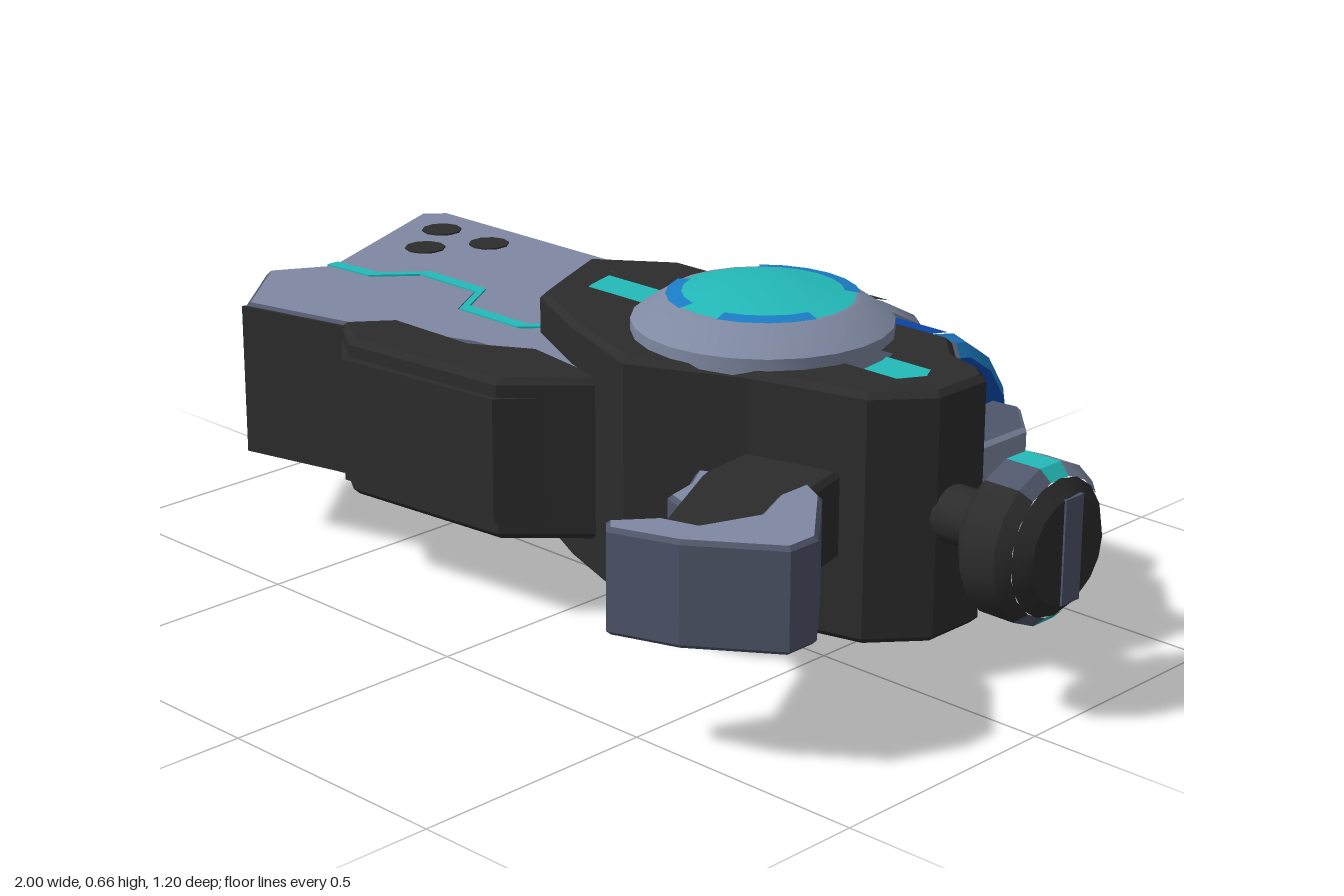
import * as THREE from 'three';
import { toCreasedNormals } from 'three/addons/utils/BufferGeometryUtils.js';

const MID = 0.335; // height of the symmetry plane
const RAD = Math.PI / 180;

export function createModel() {
  const model = new THREE.Group();
  model.name = 'blaster';
  const mat = (name, color) => {
    const m = new THREE.MeshStandardMaterial({ color });
    m.name = name;
    return m;
  };
  const slate = mat('slate', 0x7f89a2);
  const darkSlate = mat('dark slate', 0x50566a);
  const black = mat('black', 0x2c2c2c);
  const teal = mat('teal', 0x23bab9);
  const cyan = mat('cyan', 0x22afe2);
  const midBlue = mat('mid blue', 0x1b7dc6);
  const deepBlue = mat('deep blue', 0x0b46a9);

  const add = (name, geo, material, parent = model) => {
    const mesh = new THREE.Mesh(geo, material);
    mesh.name = name;
    parent.add(mesh);
    return mesh;
  };

  // Slab with an (x, z) outline, symmetric about the middle plane
  const slab = (name, pts, half, material, bevel = 0, hole = null) => {
    const vecs = (list) => list.map(([x, z]) => new THREE.Vector2(x, -z));
    const shape = new THREE.Shape(vecs(pts));
    if (hole) shape.holes.push(new THREE.Path(vecs(hole)));
    const geo = new THREE.ExtrudeGeometry(shape, {
      depth: 2 * (half - bevel), bevelEnabled: bevel > 0, bevelThickness: bevel,
      bevelSize: bevel, bevelOffset: -bevel, bevelSegments: 1,
    });
    geo.rotateX(-Math.PI / 2);
    geo.translate(0, MID - half + bevel, 0);
    return add(name, geo, material);
  };

  // Lathe sector around the x axis; profile is [radius, x], 0 deg = +z, 180 deg = -z
  const turned = (name, profile, z, material, from = 0, to = 360, step = 22.5) => {
    const pts = profile.map(([r, x]) => new THREE.Vector2(r, x));
    const segs = Math.max(1, Math.round((to - from) / step));
    let geo = new THREE.LatheGeometry(pts, segs, from * RAD, (to - from) * RAD);
    geo.rotateZ(-Math.PI / 2);
    geo.translate(0, MID, z);
    geo = toCreasedNormals(geo, 0.45);
    return add(name, geo, material);
  };

  // Barrel shells, split by a zigzag seam
  const seam = [[-0.84, 0.05], [-0.72, 0.04], [-0.65, -0.04], [-0.48, -0.04],
    [-0.42, 0.06], [-0.25, 0.06], [-0.18, -0.02]];
  slab('upperBarrelShell', [[-1, -0.34], [-0.96, -0.385], [0.1, -0.385], [0.1, -0.02],
    ...[...seam].reverse()], 0.16, slate, 0.008);
  slab('lowerBarrelShell', [...seam, [0.04, -0.02], [0.04, 0.18], [-0.12, 0.19], [-0.25, 0.2],
    [-0.5, 0.29], [-0.76, 0.35], [-0.91, 0.17]], 0.16, [slate, darkSlate], 0.012);
  slab('glowSeam', [...seam.map(([x, z]) => [x, z - 0.014]),
    ...[...seam].reverse().map(([x, z]) => [x, z + 0.014])], 0.163, teal);

  // Dark underside of the barrel
  slab('barrelUnderPlate', [[-0.76, 0.348], [-0.5, 0.288], [-0.49, 0.293], [-0.76, 0.356]], 0.155, black);
  slab('barrelUnderside', [[-0.53, 0.29], [-0.46, 0.2], [-0.25, 0.2], [-0.13, 0.13], [0.1, 0.17],
    [-0.05, 0.32], [-0.43, 0.355]], 0.162, black, 0.012);
  slab('underBlock', [[-0.53, 0.29], [-0.3, 0.2], [0.08, 0.18], [-0.05, 0.33], [-0.43, 0.375]], 0.125, black);

  // Vent holes on both faces of the barrel
  for (const [x, z] of [[-0.865, -0.28], [-0.715, -0.28], [-0.79, -0.165]]) {
    for (const s of [1, -1]) {
      add('ventHole', new THREE.CylinderGeometry(0.043, 0.043, 0.006, 10), black)
        .position.set(x, MID + s * 0.16, z);
    }
  }

  // Muzzle
  turned('muzzleBarrel', [[0.085, -0.94], [0.085, -0.8]], -0.09, slate);
  turned('muzzleRing', [[0.045, -0.94], [0.045, -1], [0.075, -1], [0.095, -0.98], [0.095, -0.935], [0.08, -0.935]],
    -0.09, teal);
  turned('muzzleBore', [[0, -0.965], [0.05, -0.965]], -0.09, black);

  // Receiver body with a glowing slot in each face
  const body = [[-0.3, -0.17], [-0.15, -0.28], [0.55, -0.287], [0.62, -0.215], [0.7, -0.19], [0.735, -0.16],
    [0.735, -0.03], [0.65, 0.07], [0.42, 0.13], [0.2, 0.232], [-0.02, 0.15], [-0.2, 0.06], [-0.24, -0.03]];
  slab('receiverBody', body, 0.215, black);
  slab('receiverFrame', body, 0.243, black, 0.012,
    [[-0.215, -0.145], [0.64, -0.145], [0.675, -0.08], [0.64, -0.018], [-0.165, -0.018]]);
  slab('glowSlot', [[-0.23, -0.16], [0.69, -0.16], [0.69, -0.01], [-0.19, -0.01]], 0.222, teal);
  slab('frontCheek', [[-0.3, -0.17], [-0.307, -0.175], [-0.153, -0.288], [-0.15, -0.28]], 0.225, darkSlate);
  slab('rearCheek', [[0.55, -0.287], [0.556, -0.291], [0.626, -0.219], [0.62, -0.215]], 0.235, darkSlate);

  // Round domed disc on each face
  for (const s of [1, -1]) {
    const disc = new THREE.Group();
    disc.name = s > 0 ? 'upperDisc' : 'lowerDisc';
    disc.position.set(0.265, MID, -0.075);
    if (s < 0) disc.rotation.x = Math.PI;
    model.add(disc);
    const lathe = (name, profile, material, from = 0, to = 360) => {
      const geo = new THREE.LatheGeometry(profile.map((p) => new THREE.Vector2(...p)),
        Math.round((to - from) / 15), from * RAD, (to - from) * RAD);
      add(name, toCreasedNormals(geo, 0.45), material, disc);
    };
    lathe('discRim', [[0.25, 0.2], [0.25, 0.265], [0.185, 0.309], [0.175, 0.311]], slate);
    lathe('discDome', [[0.18, 0.31], [0.1, 0.324], [0, 0.332]], teal);
    const turn = s > 0 ? 0 : 180;
    for (const [a, b] of [[15, 75], [-75, -15], [135, 225]]) {
      lathe('discArc', [[0.184, 0.313], [0.154, 0.318]], midBlue, a + turn, b + turn);
    }
  }

  // Energy tank beside the receiver, a half drum closed off by the body
  const tz = -0.29;
  const drum = (name, profile, material, from = 90, to = 270) => turned(name, profile, tz, material, from, to);
  drum('tankFrontCap', [[0, -0.05], [0.15, -0.05], [0.19, -0.035]], deepBlue);
  drum('tankFrontEdge', [[0.19, -0.035], [0.215, -0.01], [0.23, 0.03]], midBlue);
  drum('tankGlow', [[0.23, 0.03], [0.23, 0.48]], cyan, 108, 252);
  drum('tankUpperBand', [[0.23, 0.03], [0.23, 0.48]], deepBlue, 252, 270);
  drum('tankLowerBand', [[0.23, 0.03], [0.23, 0.48]], deepBlue, 90, 108);
  drum('tankRearEdge', [[0.23, 0.48], [0.22, 0.515], [0.195, 0.535]], midBlue);
  drum('tankRearCap', [[0.195, 0.535], [0.15, 0.545], [0, 0.545]], deepBlue);

  // Clamp over the tank
  turned('tankClamp', [[0.215, 0.195], [0.24, 0.195], [0.255, 0.22], [0.255, 0.32], [0.24, 0.345], [0.215, 0.345]],
    tz, slate, 80, 280, 25);
  for (const a of [98, 227]) {
    turned('clampInset', [[0.258, 0.24], [0.258, 0.3]], tz, black, a, a + 35, 17.5);
  }

  // Spine running from the barrel to the clamp, and the arm behind the tank
  slab('spine', [[-0.47, -0.38], [-0.42, -0.44], [-0.14, -0.475], [0.03, -0.605], [0.3, -0.605], [0.35, -0.535],
    [0.35, -0.3], [-0.1, -0.25], [-0.4, -0.3]], 0.09, [darkSlate, slate], 0.025);
  slab('rearArm', [[0.5, -0.43], [0.6, -0.44], [0.685, -0.35], [0.685, -0.18], [0.5, -0.18]],
    0.08, [darkSlate, slate], 0.008);

  // Rear knob
  const kz = -0.075;
  turned('knobRod', [[0.055, 0.7], [0.055, 0.85]], kz, black);
  const knob = [[0.1, 0.83], [0.152, 0.875], [0.152, 0.95], [0.13, 0.972]];
  turned('knobRim', knob, kz, slate, 101, 259);
  for (const a of [55, 281]) turned('knobRimEdge', knob, kz, darkSlate, a, a + 24);
  for (const a of [79, 259]) turned('knobLight', knob, kz, teal, a, a + 22);
  turned('knobSide', knob, kz, black, -55, 55);
  turned('knobFront', [[0, 0.83], [0.1, 0.83]], kz, black);
  turned('knobFace', [[0.13, 0.972], [0.1, 0.996], [0, 0.996]], kz, black);
  add('knobStripe', new THREE.BoxGeometry(0.008, 0.2, 0.05), darkSlate).position.set(0.996, MID, -0.085);

  // Grip and trigger
  slab('gripCore', [[0.4, 0.08], [0.6, 0.08], [0.63, 0.2], [0.68, 0.3], [0.64, 0.5], [0.55, 0.5], [0.42, 0.25]],
    0.085, black, 0.01);
  slab('gripShell', [[0.62, 0.19], [0.68, 0.22], [0.805, 0.37], [0.805, 0.44], [0.65, 0.55], [0.52, 0.595],
    [0.49, 0.565], [0.55, 0.49], [0.62, 0.47], [0.66, 0.36], [0.62, 0.27]], 0.1, [slate, darkSlate], 0.008);
  slab('trigger', [[0.31, 0.14], [0.42, 0.1], [0.475, 0.33], [0.38, 0.3], [0.365, 0.23]], 0.042,
    [slate, darkSlate], 0.008);

  return model;
}
